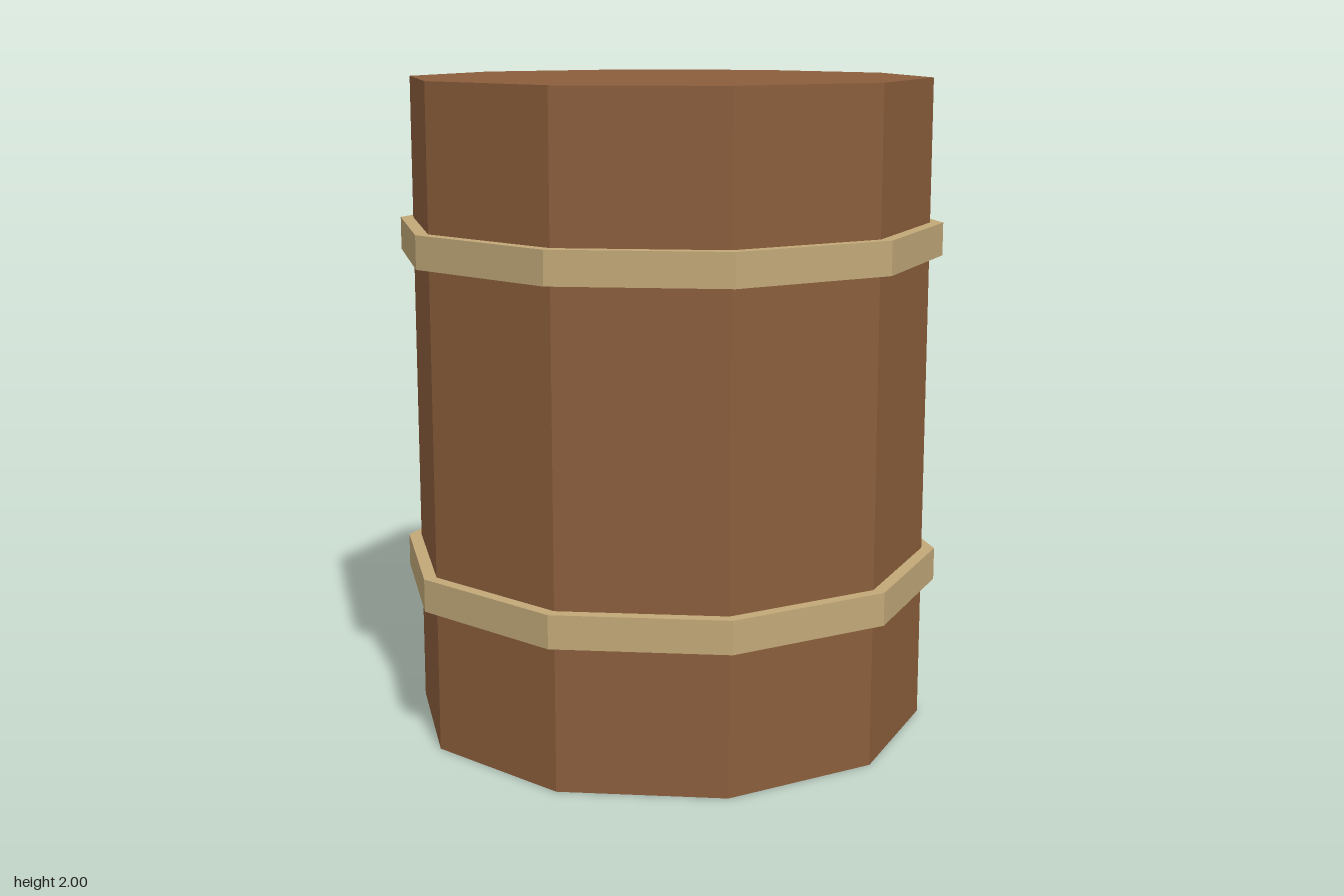
import * as THREE from 'three';

const SIDES = 10;

export function createModel() {
  const wood = new THREE.MeshStandardMaterial({ color: 0x8b5e3c });
  wood.name = 'wood';
  const hoopTan = new THREE.MeshStandardMaterial({ color: 0xc2a878 });
  hoopTan.name = 'hoopTan';

  const barrel = new THREE.Group();
  barrel.name = 'barrel';

  // Ten-sided prism, unshared vertices give each side a flat normal
  const addPrism = (name, radius, height, y, material) => {
    const geometry = new THREE.CylinderGeometry(radius, radius, height, SIDES).toNonIndexed();
    geometry.computeVertexNormals();
    const mesh = new THREE.Mesh(geometry, material);
    mesh.name = name;
    mesh.position.y = y;
    barrel.add(mesh);
  };

  // Body
  addPrism('body', 0.8, 2, 1, wood);

  // Hoops
  addPrism('lowerHoop', 0.84, 0.1, 0.49, hoopTan);
  addPrism('upperHoop', 0.84, 0.1, 1.515, hoopTan);

  return barrel;
}
